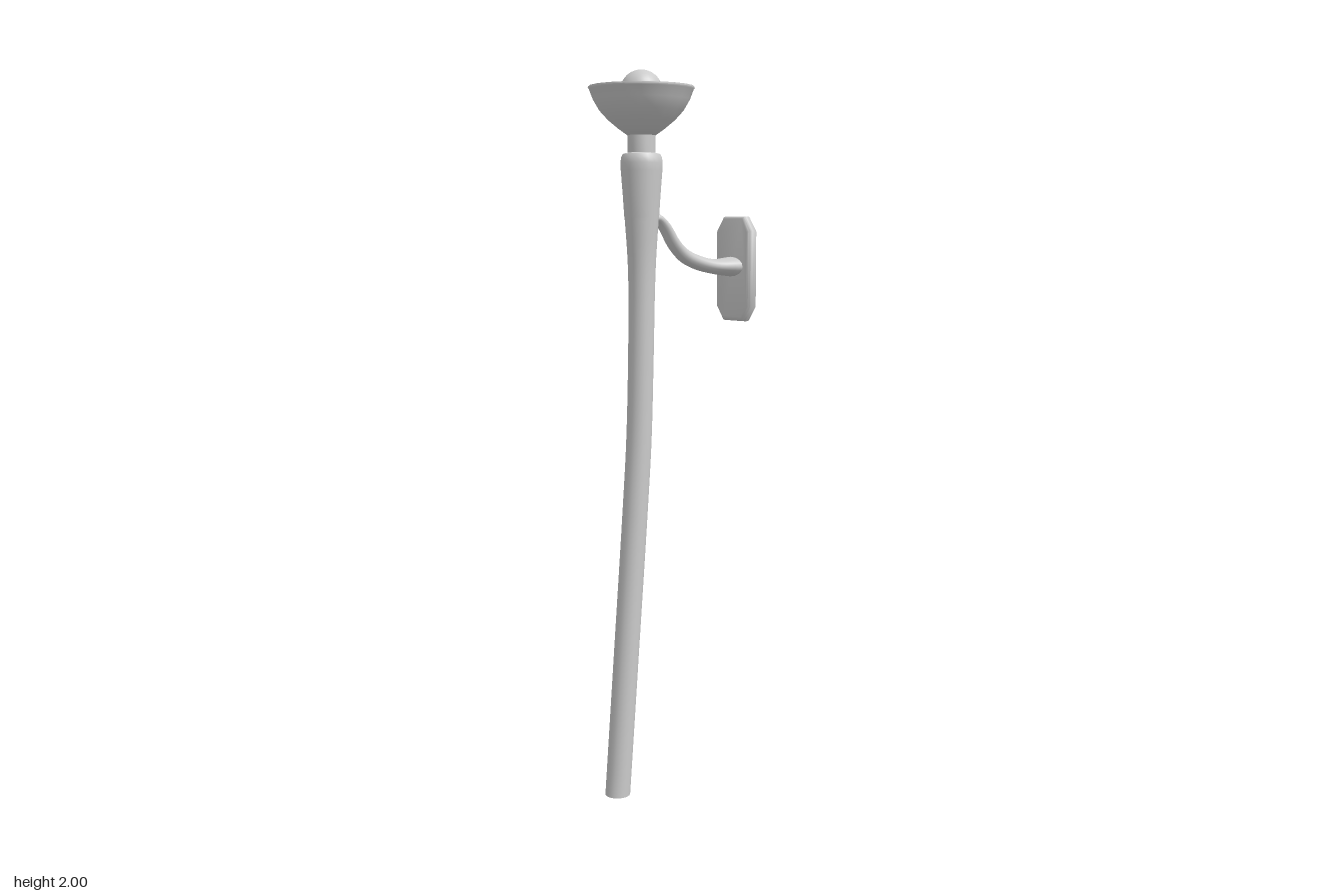
import * as THREE from 'three';
import { toCreasedNormals } from 'three/addons/utils/BufferGeometryUtils.js';

const material = new THREE.MeshStandardMaterial({ color: 0xcccccc });
const AXIS_Z = 0.102; // depth of the upright top of the torch

function addMesh(parent, name, geometry, mat = material) {
  const mesh = new THREE.Mesh(geometry, mat);
  mesh.name = name;
  parent.add(mesh);
  return mesh;
}

// Sweep an ellipse along a path in the x = 0 plane.
// Rows are [y, z, half width, half thickness]; level keeps the rings horizontal.
function loft(rows, steps, sides, level) {
  const path = new THREE.CatmullRomCurve3(rows.map(([y, z]) => new THREE.Vector3(0, y, z)));
  const radii = new THREE.CatmullRomCurve3(rows.map((r, i) => new THREE.Vector3(r[2], r[3], i * 0.05)));
  const positions = [], index = [];
  for (let i = 0; i <= steps; i++) {
    const c = path.getPoint(i / steps), r = radii.getPoint(i / steps);
    const t = level ? new THREE.Vector3(0, 1, 0) : path.getTangent(i / steps);
    for (let j = 0; j < sides; j++) {
      const a = (j / sides) * Math.PI * 2, v = r.y * Math.sin(a);
      positions.push(r.x * Math.cos(a), c.y + v * t.z, c.z - v * t.y);
      if (i < steps) {
        const k = i * sides + j, n = i * sides + ((j + 1) % sides);
        index.push(k, n, n + sides, k, n + sides, k + sides);
      }
    }
  }
  const geometry = new THREE.BufferGeometry();
  geometry.setAttribute('position', new THREE.Float32BufferAttribute(positions, 3));
  geometry.setIndex(index);
  geometry.computeVertexNormals();
  return geometry;
}

// Turned part around the torch axis, profile as [radius, y]
function turned(profile, crease = 0.7) {
  const points = profile.map(([r, y]) => new THREE.Vector2(r, y));
  const geometry = toCreasedNormals(new THREE.LatheGeometry(points, 20), crease);
  return geometry.translate(0, 0, AXIS_Z);
}

export function createModel() {
  const model = new THREE.Group();
  model.name = 'wallTorch';

  // Long handle, curving forward toward its lower end
  const shaft = [
    [0, 0.192, 0.035, 0.035], [0.4, 0.16, 0.035, 0.035], [0.8, 0.128, 0.035, 0.035],
    [1.0, 0.114, 0.035, 0.035], [1.2, 0.107, 0.035, 0.035], [1.4, 0.103, 0.036, 0.036],
    [1.5, AXIS_Z, 0.039, 0.039], [1.62, AXIS_Z, 0.047, 0.047],
  ];
  addMesh(model, 'handle', loft(shaft, 42, 20, true));
  const foot = addMesh(model, 'handleEnd', new THREE.CircleGeometry(0.035, 20));
  foot.rotation.x = Math.PI / 2;
  foot.position.z = 0.192;

  // Swelling grip with a rounded shoulder, then the neck
  addMesh(model, 'collar', turned([
    [0.047, 1.61], [0.051, 1.67], [0.056, 1.735], [0.057, 1.755],
    [0.055, 1.77], [0.05, 1.779], [0.038, 1.782],
  ]));
  addMesh(model, 'neck', turned([[0.038, 1.775], [0.038, 1.835]]));

  // Hollow bowl: outside up, thin rim, inside down
  addMesh(model, 'bowl', turned([
    [0.0, 1.826], [0.038, 1.828], [0.062, 1.845], [0.09, 1.868], [0.113, 1.893],
    [0.13, 1.922], [0.14, 1.948], [0.143, 1.952], [0.142, 1.956], [0.137, 1.956],
    [0.13, 1.94], [0.116, 1.912], [0.095, 1.885], [0.066, 1.862], [0.035, 1.85], [0, 1.85],
  ], 0.9));

  // Ball resting in the bowl on a short stem
  const ball = addMesh(model, 'ball', new THREE.SphereGeometry(0.058, 28, 18));
  ball.position.set(0, 1.942, AXIS_Z);
  addMesh(model, 'ballStem', turned([[0.04, 1.845], [0.036, 1.87], [0.04, 1.905]]));

  // Curved bracket arm, wide at the wall and narrow at the handle
  const arm = [
    [1.474, -0.222, 0.053, 0.028], [1.474, -0.203, 0.05, 0.027], [1.475, -0.15, 0.037, 0.021],
    [1.485, -0.098, 0.029, 0.02], [1.506, -0.045, 0.024, 0.019], [1.539, -0.008, 0.023, 0.017],
    [1.585, 0.024, 0.022, 0.015], [1.607, 0.05, 0.022, 0.013], [1.607, 0.075, 0.022, 0.012],
  ];
  addMesh(model, 'bracketArm', loft(arm, 32, 16, false));

  // Wall plate with clipped corners and softened edges
  const bevel = 0.013, w = 0.075 - bevel, h = 0.1475 - bevel, cx = 0.024, cy = 0.032;
  const outline = new THREE.Shape([
    [w, -h + cy], [w, h - cy], [w - cx, h], [-w + cx, h],
    [-w, h - cy], [-w, -h + cy], [-w + cx, -h], [w - cx, -h],
  ].map(([x, y]) => new THREE.Vector2(x, y)));
  const plate = new THREE.ExtrudeGeometry(outline, {
    depth: 0.009, bevelEnabled: true, bevelSize: bevel, bevelThickness: 0.012, bevelSegments: 3,
  });
  plate.translate(0.005, 1.4675, -0.234);
  addMesh(model, 'wallPlate', toCreasedNormals(plate, 0.9));

  return model;
}
